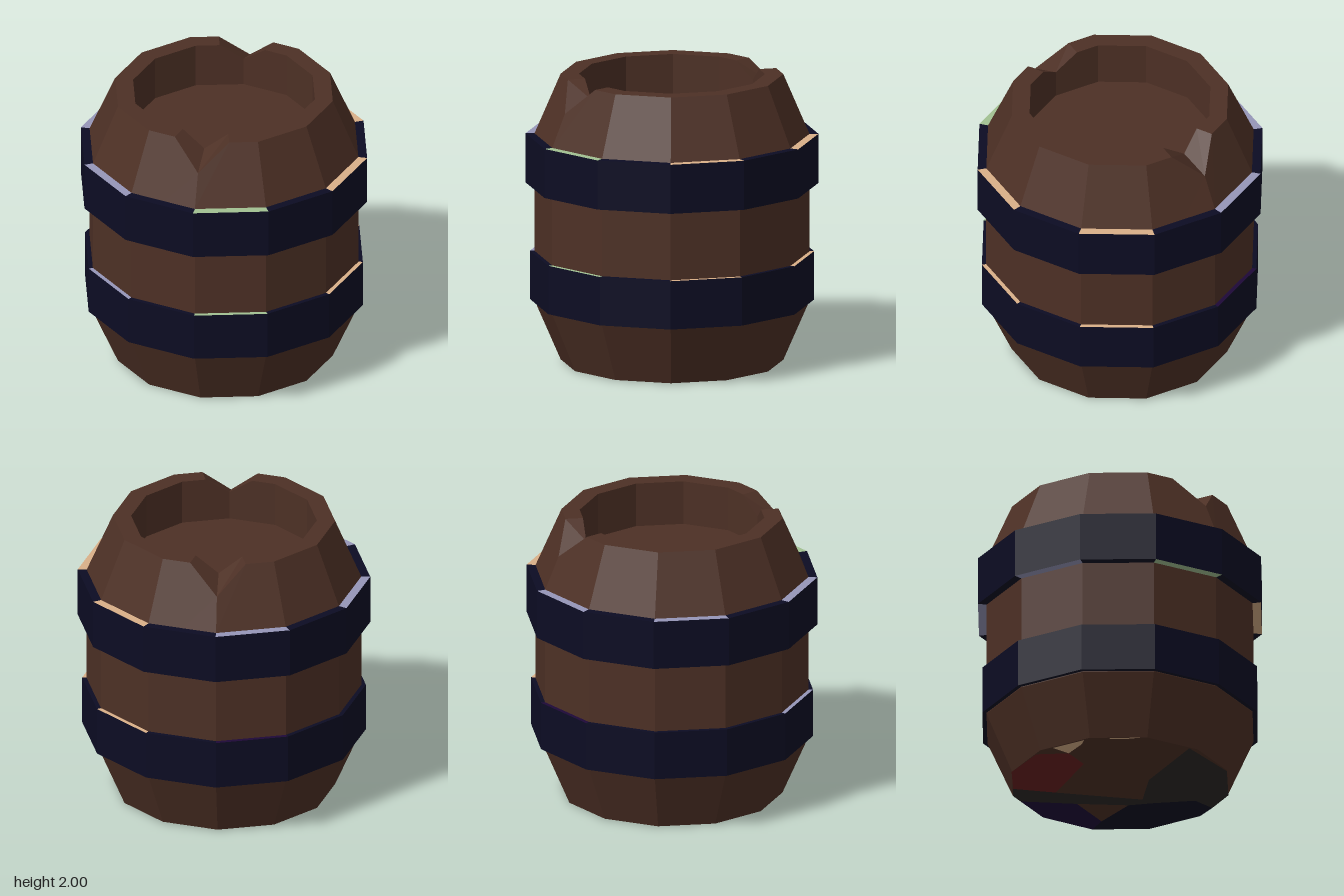
import * as THREE from 'three';

const paint = (name, color) => {
  const m = new THREE.MeshStandardMaterial({ color, flatShading: true });
  m.name = name;
  return m;
};

// A flat-shaded mesh from quads joining consecutive rings, for the given sectors
function loft(name, rings, material, sectors) {
  const pos = [];
  const tri = (a, b, c) => {
    const area = new THREE.Triangle(a, b, c).getArea();
    if (area > 1e-7) for (const p of [a, b, c]) pos.push(p.x, p.y, p.z);
  };
  for (let k = 0; k < rings.length - 1; k++) {
    const lo = rings[k], hi = rings[k + 1], n = lo.length;
    for (let i = 0; i < n; i++) {
      if (sectors && !sectors.includes(i)) continue;
      const j = (i + 1) % n;
      tri(lo[i], hi[i], lo[j]);
      tri(lo[j], hi[i], hi[j]);
    }
  }
  const geo = new THREE.BufferGeometry();
  geo.setAttribute('position', new THREE.Float32BufferAttribute(pos, 3));
  geo.computeVertexNormals();
  const mesh = new THREE.Mesh(geo, material);
  mesh.name = name;
  return mesh;
}

// A twelve-sided ring; with n = 24 the side midpoints are included
function ring(r, y, n = 12, notch) {
  return Array.from({ length: n }, (_, i) => {
    const a = (i / n) * Math.PI * 2;
    let rad = n === 24 && i % 2 ? r * Math.cos(Math.PI / 12) : r, h = y;
    if (notch && (i === 10 || i === 22)) [rad, h] = notch;
    return new THREE.Vector3(rad * Math.cos(a), h, rad * Math.sin(a));
  });
}

export function createModel() {
  const group = new THREE.Group();
  group.name = 'barrel';
  const brown = paint('brown wood', 0x4d3025);
  const navy = paint('navy iron', 0x0c0c23);
  const tan = paint('tan', 0xdab088);
  const lavender = paint('lavender', 0x9696b8);
  const green = paint('green', 0xa2c192);
  const purple = paint('dark purple', 0x1e0838);
  const red = paint('dark red', 0x6a2020);
  const charcoal = paint('charcoal', 0x2c2826);

  // Staved body with two V notches in the rim and a sunken lid
  group.add(loft('body', [
    ring(0, 0.004, 24), ring(0.76, 0.004, 24), ring(0.94, 0.42, 24), ring(0.94, 1.58, 24),
    ring(0.76, 2, 24, [0.84, 1.81]), ring(0.635, 2, 24, [0.635, 1.89]),
    ring(0.635, 1.69, 24), ring(0, 1.69, 24),
  ], brown));

  // Hoops: navy outside, with coloured segments on the upper and lower edges
  function hoop(name, y0, y1, r, topColours, underColours) {
    const hoopGroup = new THREE.Group();
    hoopGroup.name = name;
    hoopGroup.add(loft('hoopSide', [ring(r, y0), ring(r, y1)], navy));
    for (let i = 0; i < 12; i++) {
      hoopGroup.add(loft('hoopTopEdge', [ring(r, y1), ring(0.93, y1)], topColours[i] || navy, [i]));
      hoopGroup.add(loft('hoopUnderEdge', [ring(0.93, y0), ring(r, y0)], underColours[i] || navy, [i]));
    }
    group.add(hoopGroup);
  }
  hoop('upperHoop', 1.24, 1.583, 1.0,
    { 0: tan, 2: tan, 4: green, 6: lavender, 8: lavender, 10: lavender },
    { 1: tan, 3: tan, 5: green, 7: lavender, 9: lavender, 11: tan });
  hoop('lowerHoop', 0.425, 0.763, 0.97,
    { 0: tan, 2: tan, 4: green, 6: lavender, 10: purple },
    { 1: red });

  // Patches of colour on the underside
  const s = Math.SQRT1_2;
  const underside = new THREE.Matrix4().makeBasis(
    new THREE.Vector3(-s, 0, -s), new THREE.Vector3(s, 0, -s), new THREE.Vector3(0, -1, 0));
  const patches = [
    [navy, [[-0.54, 0.54], [-0.46, 0.42], [-0.33, 0.13], [-0.39, -0.04], [-0.5, -0.3],
      [-0.66, -0.34], [-0.73, -0.2], [-0.73, 0.2]]],
    [purple, [[-0.54, 0.54], [-0.2, 0.73], [0.1, 0.73], [-0.13, 0.42], [-0.46, 0.42]]],
    [red, [[0.1, 0.45], [0.3, 0.67], [0.54, 0.54], [0.7, 0.25], [0.6, 0.05], [0.4, 0.05]]],
    [charcoal, [[0.1, 0.73], [0.2, 0.73], [0.3, 0.67], [0.1, 0.45], [-0.3, 0], [-0.05, -0.2],
      [0.25, -0.7], [-0.2, -0.73], [-0.54, -0.54], [-0.66, -0.34], [-0.5, -0.3],
      [-0.39, -0.04], [-0.33, 0.13], [-0.13, 0.42]]],
    [tan, [[0.6, 0.05], [0.73, 0.1], [0.73, -0.15], [0.68, -0.1]]],
    [tan, [[0.6, -0.4], [0.7, -0.25], [0.56, -0.52]]],
  ];
  for (const [material, points] of patches) {
    const shape = new THREE.Shape(points.map(([u, v]) => new THREE.Vector2(u, v)));
    const patch = new THREE.Mesh(new THREE.ShapeGeometry(shape).applyMatrix4(underside), material);
    patch.name = 'undersidePatch';
    group.add(patch);
  }
  return group;
}
